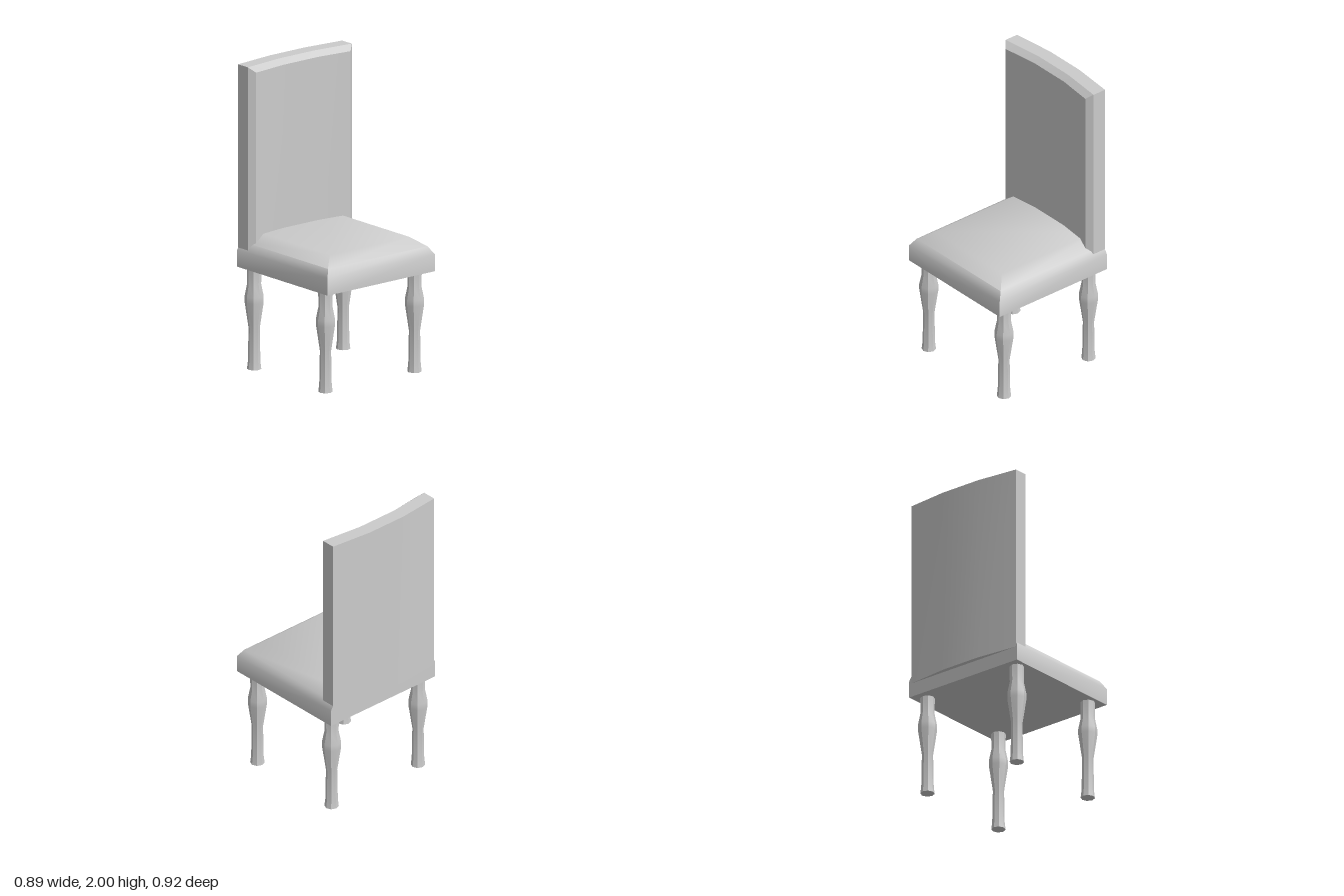
import * as THREE from 'three';
import { toCreasedNormals } from 'three/addons/utils/BufferGeometryUtils.js';

const material = new THREE.MeshStandardMaterial({ color: 0xcccccc });

function addMesh(group, name, geometry, crease) {
  const mesh = new THREE.Mesh(toCreasedNormals(geometry, crease), material);
  mesh.name = name;
  group.add(mesh);
  return mesh;
}

// Joins equal-sized rings of corners into a closed solid, capped at both ends.
// Corners run counter-clockwise seen from the last ring's side.
function loft(rings) {
  const n = rings[0].length;
  const positions = [];
  const quad = (a, b, c, d) => positions.push(...a, ...b, ...c, ...a, ...c, ...d);
  for (let r = 0; r < rings.length - 1; r++) {
    const low = rings[r], high = rings[r + 1];
    for (let i = 0; i < n; i++) {
      const j = (i + 1) % n;
      quad(low[i], low[j], high[j], high[i]);
    }
  }
  const first = rings[0], last = rings[rings.length - 1];
  for (let k = 0; k < n / 2 - 1; k++) {
    quad(last[k], last[k + 1], last[n - 2 - k], last[n - 1 - k]);
    quad(first[n - 1 - k], first[n - 2 - k], first[k + 1], first[k]);
  }
  const geometry = new THREE.BufferGeometry();
  geometry.setAttribute('position', new THREE.Float32BufferAttribute(positions, 3));
  return geometry;
}

export function createModel() {
  const chair = new THREE.Group();
  chair.name = 'chair';

  // Seat cushion: rounded over at the front and sides, straight at the back
  const seatLayers = [
    // half width, front z, height
    [0.445, 0.46, 0.667],
    [0.445, 0.46, 0.78],
    [0.413, 0.425, 0.83],
    [0.33, 0.345, 0.89],
  ];
  const seatRings = seatLayers.map(([x, z, y]) => [
    [-x, y, z], [x, y, z], [x, y, -0.43], [-x, y, -0.43],
  ]);
  addMesh(chair, 'seat', loft(seatRings), 0.9);

  // Backrest: gently curved panel with a bevelled front border
  const backLayers = [
    // half width, z at the sides, z in the middle, top height
    [0.432, -0.43, -0.46, 2],
    [0.432, -0.335, -0.367, 2],
    [0.392, -0.3, -0.33, 1.965],
  ];
  const backRings = backLayers.map(([w, zSide, zMiddle, top]) => {
    const row = (y) => [[-w, zSide], [-0.145, zMiddle], [0.145, zMiddle], [w, zSide]]
      .map(([x, z]) => [x - 0.005, y, z]);
    return [...row(0.76), ...row(top).reverse()];
  });
  addMesh(chair, 'backrest', loft(backRings), 0.5);

  // Turned legs, eight-sided with a bulge above the middle
  const legProfile = [
    [0, 0], [0.046, 0], [0.04, 0.05], [0.036, 0.27],
    [0.061, 0.44], [0.061, 0.48], [0.045, 0.56], [0.047, 0.68],
  ].map(([r, y]) => new THREE.Vector2(r, y));
  for (const [xName, x] of [['Left', 0.364], ['Right', -0.375]]) {
    for (const [zName, z] of [['front', 0.356], ['back', -0.346]]) {
      const leg = addMesh(chair, zName + xName + 'Leg', new THREE.LatheGeometry(legProfile, 8), 0.6);
      leg.position.set(x, 0, z);
    }
  }

  return chair;
}
